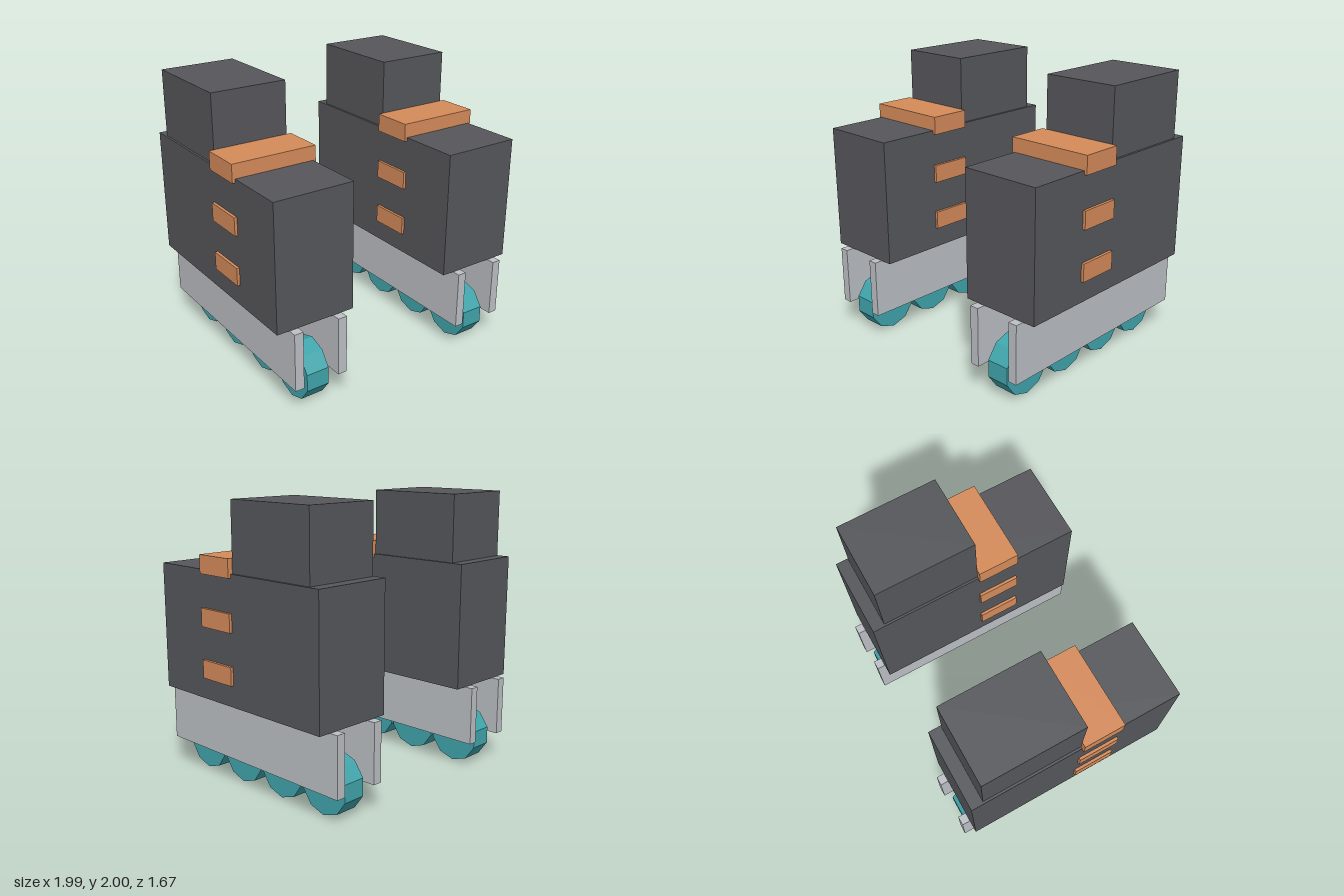
import * as THREE from 'three';

const material = (color) => new THREE.MeshStandardMaterial({ color, flatShading: true });

// Box given by its centre x, width, and y and z ranges
function box(name, mat, x, width, [y0, y1], [z0, z1]) {
  const mesh = new THREE.Mesh(new THREE.BoxGeometry(width, y1 - y0, z1 - z0), mat);
  mesh.name = name;
  mesh.position.set(x, (y0 + y1) / 2, (z0 + z1) / 2);
  return mesh;
}

// One rolling foot: tall body, rear block, bands, side plates and wheels
function createFoot(mats) {
  const foot = new THREE.Group();
  foot.add(
    box('body', mats.dark, 0, 0.58, [0.63, 1.525], [-0.777, 0.777]),
    box('rearBlock', mats.dark, 0, 0.548, [1.525, 2], [-0.687, 0.03]),
  );

  // Bands run through the full width and stand slightly proud of the sides
  for (const y of [0.845, 1.203, 1.562]) {
    foot.add(box('band', mats.orange, 0, 0.62, [y - 0.064, y + 0.064], [0.03, 0.328]));
  }

  // Plates on both sides of the wheel row
  for (const side of [-1, 1]) {
    foot.add(box('sidePlate', mats.grey, side * 0.167, 0.066, [0.21, 0.63], [-0.837, 0.837]));
  }

  // Ten-sided wheels, each resting on a corner
  const wheelGeometry = new THREE.CylinderGeometry(0.2, 0.2, 0.168, 10);
  wheelGeometry.rotateY(Math.PI / 2).rotateZ(Math.PI / 2);
  for (let i = 0; i < 4; i++) {
    const wheel = new THREE.Mesh(wheelGeometry, mats.teal);
    wheel.name = 'wheel';
    wheel.position.set(0, 0.2, 0.604 - i * 0.401);
    foot.add(wheel);
  }
  return foot;
}

export function createModel() {
  const mats = {
    dark: material(0x56575b),
    orange: material(0xd58b5a),
    grey: material(0xbcbfc4),
    teal: material(0x40a5ac),
  };
  const model = new THREE.Group();
  model.name = 'wheeledFeet';
  for (const [name, x] of [['leftFoot', 0.686], ['rightFoot', -0.686]]) {
    const foot = createFoot(mats);
    foot.name = name;
    foot.position.x = x;
    model.add(foot);
  }
  return model;
}
